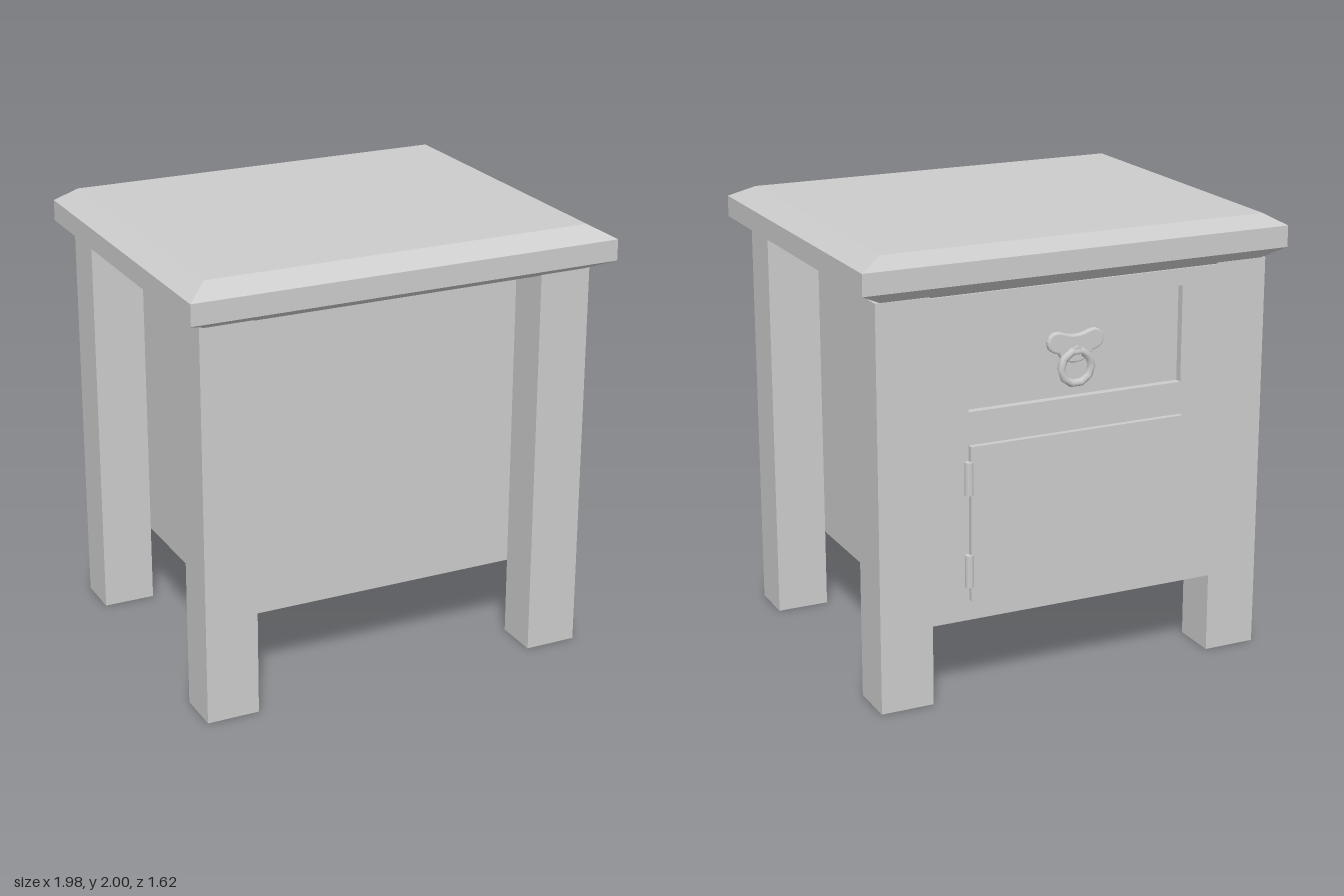
import * as THREE from 'three';

const BACK = -0.755; // plane of the face with drawer and door
const RECESS = 0.035; // how deep the drawer sits

export function createModel() {
  const group = new THREE.Group();
  group.name = 'nightstand';
  const grey = new THREE.MeshStandardMaterial({ color: 0xcccccc });
  grey.name = 'grey';

  const add = (name, geometry, x = 0, y = 0, z = 0) => {
    const mesh = new THREE.Mesh(geometry, grey);
    mesh.name = name;
    mesh.position.set(x, y, z);
    group.add(mesh);
    return mesh;
  };
  // box given by its limits
  const box = (name, x0, x1, y0, y1, z0, z1) =>
    add(name, new THREE.BoxGeometry(x1 - x0, y1 - y0, z1 - z0), (x0 + x1) / 2, (y0 + y1) / 2, (z0 + z1) / 2);

  // table top, bevelled above and below
  add('tableTop', stackedRectangles([
    { y: 1.79, x: 0.87, z0: -0.74, z1: 0.69 },
    { y: 1.85, x: 0.99, z0: -0.81, z1: 0.81 },
    { y: 1.945, x: 0.99, z0: -0.81, z1: 0.81 },
    { y: 2.0, x: 0.89, z0: -0.76, z1: 0.71 },
  ]));

  // four legs
  for (const side of [-1, 1]) {
    const x0 = side > 0 ? 0.675 : -0.915;
    box('frontLeg', x0, x0 + 0.24, 0, 1.802, 0.5, 0.71);
    box('backLeg', x0, x0 + 0.24, 0, 1.802, BACK, -0.54);
  }

  // cabinet body
  box('cabinet', -0.675, 0.675, 0.36, 1.795, BACK + RECESS, 0.5);

  // face frame with the drawer opening
  const frame = rectangle(new THREE.Shape(), -0.675, 0.36, 0.675, 1.795);
  frame.holes.push(rectangle(new THREE.Path(), -0.505, 1.29, 0.505, 1.72));
  add('faceFrame', new THREE.ExtrudeGeometry(frame, { depth: RECESS, bevelEnabled: false }), 0, 0, BACK);

  // door and its hinges
  box('door', -0.505, 0.505, 0.455, 1.145, BACK - 0.025, BACK);
  for (const y of [0.59, 1.005]) {
    add('hinge', new THREE.CylinderGeometry(0.02, 0.02, 0.145, 10), 0.51, y, BACK - 0.015);
  }

  // drawer pull: two-lobed plate, post and hanging ring
  const plate = new THREE.Shape();
  plate.moveTo(0, -0.075);
  plate.quadraticCurveTo(0.06, -0.07, 0.075, -0.03);
  plate.quadraticCurveTo(0.13, -0.02, 0.125, 0.02);
  plate.quadraticCurveTo(0.11, 0.065, 0.06, 0.045);
  plate.quadraticCurveTo(0, 0.02, -0.06, 0.045);
  plate.quadraticCurveTo(-0.11, 0.065, -0.125, 0.02);
  plate.quadraticCurveTo(-0.13, -0.02, -0.075, -0.03);
  plate.quadraticCurveTo(-0.06, -0.07, 0, -0.075);
  add('handlePlate', new THREE.ExtrudeGeometry(plate, {
    depth: 0.012, bevelThickness: 0.008, bevelSize: 0.008, bevelSegments: 2, curveSegments: 5,
  }), 0, 1.52, BACK + RECESS - 0.02);

  const post = add('handlePost', new THREE.CylinderGeometry(0.024, 0.024, 0.045, 10), 0, 1.49, BACK + 0.015);
  post.rotation.x = Math.PI / 2;
  add('handleRing', new THREE.TorusGeometry(0.072, 0.018, 8, 10), 0, 1.42, BACK + 0.006);

  return group;
}

// Traces a rectangle on a shape or path
function rectangle(path, x0, y0, x1, y1) {
  path.moveTo(x0, y0);
  path.lineTo(x1, y0);
  path.lineTo(x1, y1);
  path.lineTo(x0, y1);
  path.closePath();
  return path;
}

// Closed solid through horizontal rectangles, listed from bottom to top
function stackedRectangles(levels) {
  const rings = levels.map(({ y, x, z0, z1 }) => [[x, y, z1], [x, y, z0], [-x, y, z0], [-x, y, z1]]);
  const points = [];
  const quad = (a, b, c, d) => points.push(...a, ...b, ...c, ...a, ...c, ...d);
  for (let k = 0; k < rings.length - 1; k++) {
    for (let i = 0; i < 4; i++) {
      const j = (i + 1) % 4;
      quad(rings[k][i], rings[k][j], rings[k + 1][j], rings[k + 1][i]);
    }
  }
  quad(...rings[rings.length - 1]);
  quad(...[...rings[0]].reverse());
  const geometry = new THREE.BufferGeometry();
  geometry.setAttribute('position', new THREE.Float32BufferAttribute(points, 3));
  geometry.computeVertexNormals();
  return geometry;
}
